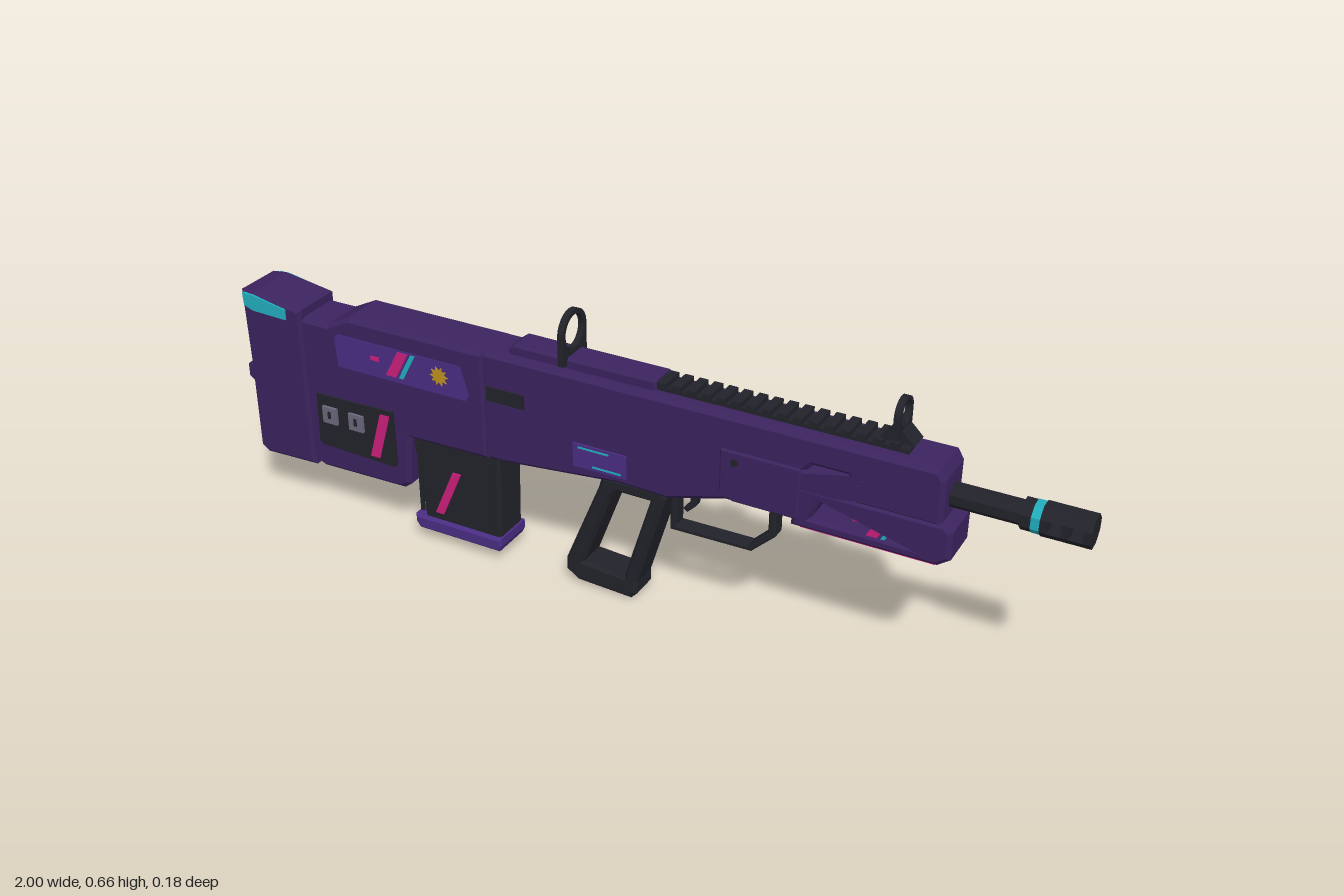
import * as THREE from 'three';

const mat = (name, color) => Object.assign(new THREE.MeshStandardMaterial({ color }), { name });
const ZC = 0.015; // mid plane of the prop

export function createModel() {
  const model = new THREE.Group();
  const purple = mat('deep purple', 0x3c235e), violet = mat('violet', 0x4a2d85),
    black = mat('charcoal', 0x22232a), cyan = mat('cyan', 0x22adbd),
    pink = mat('magenta', 0xcc1f7c), gold = mat('gold', 0xc0921e), grey = mat('grey', 0x6b677c);

  const add = (name, geo, m, x = 0, y = 0, z = 0) => {
    const mesh = new THREE.Mesh(geo, m);
    mesh.name = name;
    mesh.position.set(x, y, z);
    model.add(mesh);
    return mesh;
  };
  const vecs = (pts) => pts.map(([x, y]) => new THREE.Vector2(x, y));
  // side profile extruded from z0 to z1 with chamfered rims
  const slab = (name, pts, z0, z1, m, bevel = 0, holes = []) => {
    const shape = new THREE.Shape(vecs(pts));
    holes.forEach((h) => shape.holes.push(new THREE.Path(vecs(h))));
    const geo = new THREE.ExtrudeGeometry(shape, {
      depth: z1 - z0 - 2 * bevel, bevelEnabled: bevel > 0, bevelThickness: bevel,
      bevelSize: bevel, bevelOffset: -bevel, bevelSegments: 1, curveSegments: 16 });
    return add(name, geo.translate(0, 0, z0 + bevel), m);
  };
  const mid = (name, pts, half, m, bevel, holes) => slab(name, pts, ZC - half, ZC + half, m, bevel, holes);
  const box = (name, x0, x1, y0, y1, z0, z1, m) =>
    add(name, new THREE.BoxGeometry(x1 - x0, y1 - y0, z1 - z0), m, (x0 + x1) / 2, (y0 + y1) / 2, (z0 + z1) / 2);
  const rect = (x0, x1, y0, y1) => [[x0, y0], [x1, y0], [x1, y1], [x0, y1]];
  // slanted stripe between two heights
  const stripe = (name, xb, yb, xt, yt, w, z, m, t = 0.004) =>
    slab(name, [[xb, yb], [xb + w, yb], [xt + w, yt], [xt, yt]], z, z + t, m);
  const octagon = (r, len) => new THREE.CylinderGeometry(r, r, len, 8).rotateY(Math.PI / 8).rotateZ(Math.PI / 2).toNonIndexed();
  const rod = (name, x0, x1, r, m) => {
    const geo = octagon(r, x1 - x0);
    geo.computeVertexNormals();
    return add(name, geo, m, (x0 + x1) / 2, 0.465, ZC);
  };
  const sun = (x, y, r, z) => {
    const pts = Array.from({ length: 20 }, (_, i) => {
      const a = (i * Math.PI) / 10, q = i % 2 ? r * 0.6 : r;
      return [x + q * Math.cos(a), y + q * Math.sin(a)];
    });
    slab('sunEmblem', pts, z, z + 0.004, gold);
  };

  // butt
  mid('butt', [[-0.965, 0.12], [-0.82, 0.125], [-0.82, 0.53], [-0.95, 0.55], [-0.99, 0.545], [-0.985, 0.36],
    [-0.998, 0.35], [-0.998, 0.32], [-0.985, 0.31], [-0.985, 0.135]], 0.066, purple, 0.009);
  for (const s of [-1, 1]) {
    const z = ZC + s * 0.066;
    slab('buttAccent', [[-0.978, 0.512], [-0.955, 0.503], [-0.86, 0.5], [-0.86, 0.526], [-0.95, 0.542], [-0.98, 0.542]],
      z - 0.004, z + 0.004, cyan);
  }

  // rear and front housing
  mid('rearHousing', [[-0.83, 0.14], [-0.8, 0.125], [-0.57, 0.13], [-0.55, 0.145], [-0.54, 0.27], [-0.33, 0.275],
    [-0.33, 0.54], [-0.69, 0.54], [-0.75, 0.51], [-0.83, 0.51]], 0.06, purple, 0.01);
  mid('frontHousing', [[-0.34, 0.275], [-0.29, 0.275], [0, 0.305], [0.12, 0.302], [0.25, 0.34], [0.42, 0.34], [0.43, 0.415],
    [0.718, 0.415], [0.718, 0.52], [0.705, 0.542], [-0.34, 0.542]], 0.056, purple, 0.01,
  [0.43, 0.55].map((x) => [[x, 0.462], [x + 0.012, 0.45], [x + 0.088, 0.45], [x + 0.1, 0.462], [x + 0.088, 0.476], [x + 0.012, 0.476]]));
  mid('sideCover', [[0.24, 0.365], [0.27, 0.345], [0.42, 0.345], [0.42, 0.465], [0.24, 0.465]], 0.06, purple, 0.004);

  // open handguard with painted bars in its window
  mid('handguard', [[0.4, 0.325], [0.715, 0.325], [0.742, 0.345], [0.742, 0.41], [0.725, 0.425], [0.41, 0.425]], 0.057, purple, 0.01,
    [[[0.445, 0.355], [0.68, 0.355], [0.7, 0.37], [0.7, 0.405], [0.465, 0.405]]]);
  box('handguardStrip', 0.42, 0.71, 0.322, 0.328, ZC - 0.045, ZC + 0.045, pink);
  for (const z of [ZC - 0.054, ZC + 0.05]) {
    stripe('handguardStripe', 0.565, 0.352, 0.595, 0.408, 0.024, z, pink);
    stripe('handguardThinStripe', 0.596, 0.352, 0.626, 0.408, 0.009, z, cyan);
    sun(0.66, 0.38, 0.018, z);
    box('handguardDash', 0.535, 0.565, 0.377, 0.384, z, z + 0.004, pink);
  }

  // barrel and slotted muzzle
  rod('barrel', 0.7, 0.885, 0.026, black);
  rod('muzzleCollar', 0.86, 0.882, 0.033, black);
  rod('muzzleRing', 0.882, 0.9, 0.034, cyan);
  for (const [a, b] of [[0.9, 0.915], [0.942, 0.957], [0.985, 1]]) rod('muzzleBand', a, b, 0.036, black);
  for (const s of [-1, 1]) {
    const chunk = mid('muzzleRib', [[-0.033, 0.014], [0.033, 0.014], [0.014, 0.033], [-0.014, 0.033]], 0.05, black);
    chunk.geometry.translate(0, 0, -ZC).rotateY(Math.PI / 2).rotateX(s > 0 ? 0 : Math.PI);
    chunk.position.set(0.95, 0.465, ZC);
  }

  // top cover and toothed rail
  mid('topCover', [[-0.28, 0.535], [0.08, 0.535], [0.08, 0.566], [-0.265, 0.566], [-0.28, 0.555]], 0.034, purple, 0.006);
  box('rail', 0.07, 0.63, 0.535, 0.55, ZC - 0.026, ZC + 0.026, black);
  for (let i = 0; i < 16; i++) {
    const x = 0.08 + i * 0.034;
    box('railTooth', x, x + 0.02, 0.548, 0.562, ZC - 0.031, ZC + 0.031, black);
  }

  // ring sights, drawn across the prop then turned to face along it
  const sight = (name, x, y0, yc, r, ri, t) => {
    const shape = new THREE.Shape();
    shape.moveTo(-r, y0 - yc).lineTo(r, y0 - yc).lineTo(r, 0).absarc(0, 0, r, 0, Math.PI, false);
    shape.lineTo(-r, y0 - yc);
    shape.holes.push(new THREE.Path().absarc(0, 0, ri, 0, Math.PI * 2, true));
    const geo = new THREE.ExtrudeGeometry(shape, { depth: t, bevelEnabled: false, curveSegments: 14 });
    add(name, geo.translate(0, 0, -t / 2).rotateY(Math.PI / 2), black, x, yc, ZC);
  };
  sight('rearSight', -0.14, 0.55, 0.616, 0.049, 0.038, 0.014);
  sight('frontSight', 0.603, 0.572, 0.616, 0.035, 0.027, 0.014);
  mid('frontSightBase', [[0.565, 0.56], [0.64, 0.56], [0.615, 0.585], [0.592, 0.585]], 0.023, black);
  add('frontSightPost', new THREE.ConeGeometry(0.007, 0.035, 8), black, 0.603, 0.6, ZC);

  // grip
  mid('grip', [[-0.145, 0.03], [-0.115, 0.01], [0.02, 0.004], [0.035, 0.02], [0.035, 0.05], [0.105, 0.285], [0.1, 0.31],
    [-0.05, 0.305], [-0.06, 0.27], [-0.145, 0.06]], 0.041, black, 0.009,
  [[[-0.098, 0.066], [0.004, 0.06], [0.068, 0.272], [-0.012, 0.272], [-0.03, 0.25]]]);

  // trigger and guard
  mid('triggerGuard', [[0.108, 0.205], [0.3, 0.208], [0.354, 0.26], [0.354, 0.345], [0.338, 0.345], [0.338, 0.265],
    [0.293, 0.22], [0.122, 0.218], [0.122, 0.305], [0.108, 0.305]], 0.019, black, 0.003);
  mid('trigger', [[0.15, 0.31], [0.168, 0.31], [0.165, 0.275], [0.145, 0.255], [0.135, 0.262], [0.152, 0.28]], 0.01, black);

  // magazine
  mid('magazine', [[-0.52, 0.06], [-0.313, 0.06], [-0.308, 0.285], [-0.545, 0.285]], 0.046, black, 0.006);
  mid('magazineBase', [[-0.535, 0.03], [-0.315, 0.03], [-0.308, 0.045], [-0.308, 0.066], [-0.545, 0.066], [-0.545, 0.045]], 0.055, violet, 0.006);
  for (const z of [ZC - 0.05, ZC + 0.046]) {
    stripe('magazineStripe', -0.488, 0.085, -0.435, 0.205, 0.022, z, pink);
    for (const x of [-0.53, -0.335]) box('magazineRib', x, x + 0.01, 0.08, 0.26, z, z + 0.004, black);
  }

  // decorations on the +z side
  const zf = ZC + 0.06;
  slab('upperPanel', [[-0.725, 0.412], [-0.38, 0.412], [-0.37, 0.425], [-0.39, 0.494], [-0.72, 0.494], [-0.73, 0.485]], zf - 0.004, zf + 0.002, violet);
  stripe('panelStripe', -0.59, 0.425, -0.555, 0.49, 0.028, zf, pink);
  stripe('panelThinStripe', -0.555, 0.425, -0.52, 0.49, 0.012, zf, cyan);
  box('panelDash', -0.63, -0.607, 0.453, 0.463, zf, zf + 0.004, pink);
  sun(-0.446, 0.457, 0.024, zf);
  slab('dialPanel', [[-0.798, 0.2], [-0.79, 0.192], [-0.585, 0.186], [-0.578, 0.195], [-0.58, 0.33], [-0.795, 0.325]], zf - 0.004, zf + 0.005, black);
  for (const x of [-0.757, -0.683]) {
    box('dial', x - 0.02, x + 0.02, 0.258, 0.3, zf, zf + 0.012, grey);
    box('dialMark', x - 0.004, x + 0.004, 0.272, 0.29, zf + 0.01, zf + 0.014, black);
  }
  stripe('dialPanelStripe', -0.65, 0.2, -0.615, 0.318, 0.026, zf + 0.003, pink);
  box('ejectionPort', -0.325, -0.23, 0.428, 0.462, ZC + 0.05, ZC + 0.06, black);

  // small plates on both sides
  for (const s of [-1, 1]) {
    const z = ZC + s * 0.057;
    box('badge', -0.108, 0.022, 0.325, 0.382, z - 0.003, z + 0.003, violet);
    box('badgeLine', -0.095, -0.02, 0.372, 0.376, z - 0.0045, z + 0.0045, cyan);
    box('badgeLine', -0.06, 0.01, 0.332, 0.336, z - 0.0045, z + 0.0045, cyan);
    const pin = new THREE.CylinderGeometry(0.009, 0.009, 0.006, 8).rotateX(Math.PI / 2);
    add('pin', pin, black, 0.275, 0.44, ZC + s * 0.06);
  }

  // decorations on the -z side
  const zb = ZC - 0.06;
  slab('controlPanel', [[-0.73, 0.425], [-0.385, 0.415], [-0.385, 0.494], [-0.72, 0.494]], zb - 0.003, zb + 0.003, violet);
  box('screen', -0.53, -0.4, 0.428, 0.478, zb - 0.006, zb, black);
  box('screenLine', -0.5, -0.44, 0.45, 0.456, zb - 0.008, zb, cyan);
  sun(-0.415, 0.452, 0.011, zb - 0.009);
  box('panelTopLine', -0.7, -0.4, 0.485, 0.489, zb - 0.005, zb, cyan);
  [[-0.565, pink], [-0.61, gold], [-0.655, cyan], [-0.7, pink]].forEach(([x, m], i) => {
    const len = i === 3 ? 0.03 : 0.022;
    add('knob', new THREE.CylinderGeometry(0.013, 0.015, len, 10).rotateX(-Math.PI / 2), m, x, 0.453, zb - len / 2);
  });
  add('leverBall', new THREE.IcosahedronGeometry(0.012, 1), pink, -0.7, 0.453, zb - 0.034);
  slab('rearPanel', [[-0.79, 0.16], [-0.58, 0.16], [-0.565, 0.18], [-0.565, 0.385], [-0.79, 0.385]], zb - 0.003, zb + 0.003, violet);
  slab('rearPanelDark', [[-0.785, 0.24], [-0.735, 0.24], [-0.65, 0.38], [-0.785, 0.38]], zb - 0.005, zb, black);
  stripe('rearPanelStripe', -0.74, 0.165, -0.635, 0.38, 0.034, zb - 0.006, pink);
  stripe('rearPanelThinStripe', -0.698, 0.165, -0.593, 0.38, 0.012, zb - 0.006, cyan);
  sun(-0.612, 0.235, 0.027, zb - 0.006);
  box('rearPanelDash', -0.765, -0.725, 0.3, 0.308, zb - 0.008, zb, pink);

  // charging handle
  box('handleSlot', 0.2, 0.42, 0.48, 0.496, ZC - 0.058, ZC - 0.05, black);
  box('handleStem', 0.3, 0.325, 0.48, 0.5, ZC - 0.082, ZC - 0.05, grey);
  box('chargingHandle', 0.285, 0.34, 0.47, 0.512, ZC - 0.092, ZC - 0.077, grey);

  return model;
}
